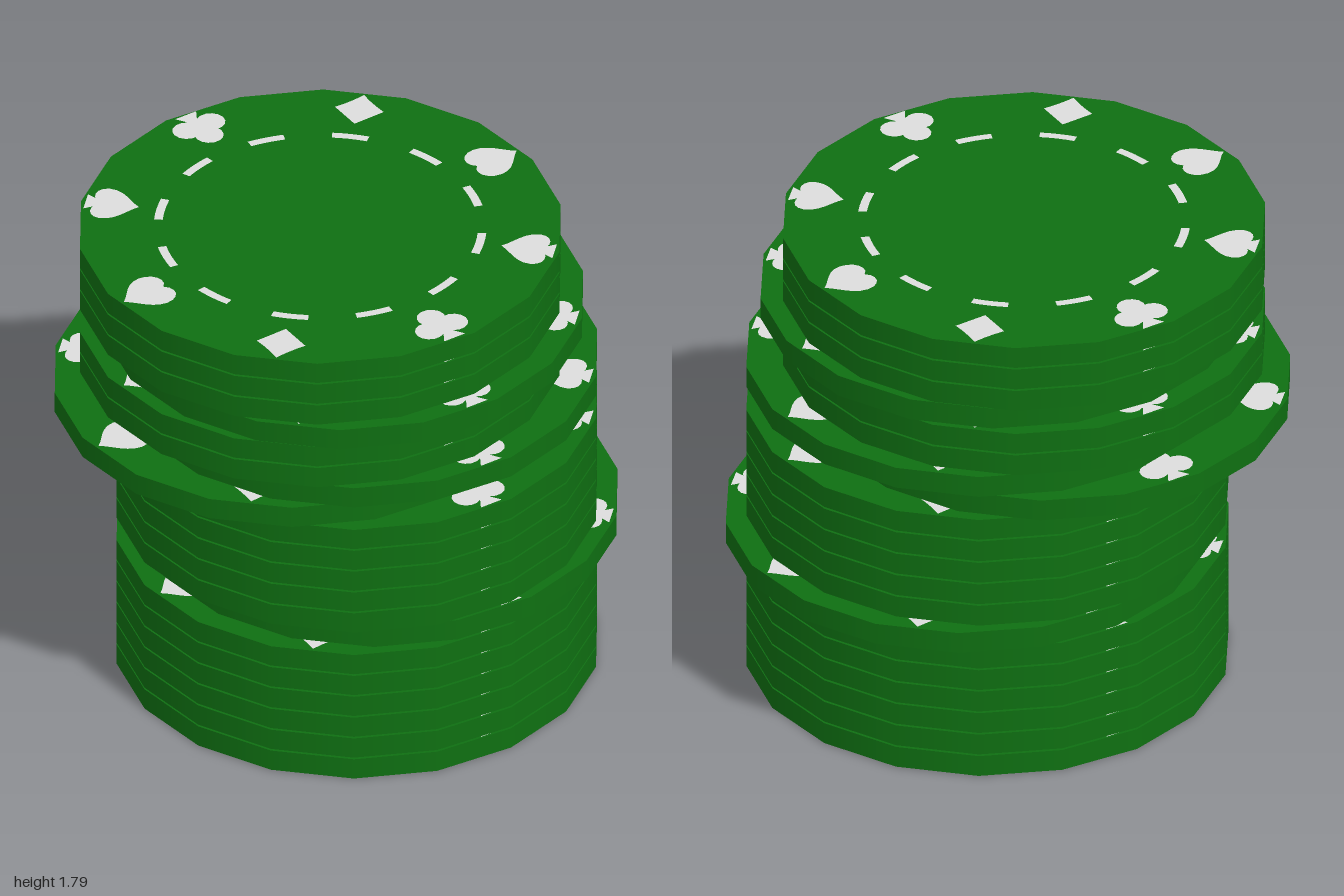
import * as THREE from 'three';
import { mergeGeometries } from 'three/addons/utils/BufferGeometryUtils.js';

const RADIUS = 0.865, HEIGHT = 0.0825, PITCH = 0.0897;

// Suit outlines: local +y points to the rim of the chip
function heart() {
  const s = new THREE.Shape();
  s.moveTo(0, 0.095);
  s.bezierCurveTo(-0.03, 0.055, -0.09, 0.03, -0.092, -0.03);
  s.bezierCurveTo(-0.092, -0.09, -0.03, -0.115, 0, -0.075);
  s.bezierCurveTo(0.03, -0.115, 0.092, -0.09, 0.092, -0.03);
  s.bezierCurveTo(0.09, 0.03, 0.03, 0.055, 0, 0.095);
  return [new THREE.ShapeGeometry(s, 6)];
}

function diamond() {
  const s = new THREE.Shape();
  s.moveTo(0, 0.092);
  s.quadraticCurveTo(-0.04, 0.04, -0.088, 0);
  s.quadraticCurveTo(-0.04, -0.05, 0, -0.092);
  s.quadraticCurveTo(0.04, -0.05, 0.088, 0);
  s.quadraticCurveTo(0.04, 0.04, 0, 0.092);
  return [new THREE.ShapeGeometry(s, 3)];
}

function stem() {
  const s = new THREE.Shape([[-0.015, -0.02], [0.015, -0.02], [0.022, 0.06], [0.045, 0.098], [-0.045, 0.098], [-0.022, 0.06]]
    .map(([x, y]) => new THREE.Vector2(x, y)));
  return new THREE.ShapeGeometry(s);
}

function club() {
  const lobes = [[0, -0.05], [-0.052, 0.015], [0.052, 0.015]]
    .map(([x, y]) => new THREE.CircleGeometry(0.052, 14).translate(x, y, 0));
  return [...lobes, stem()];
}

function spade() {
  const s = new THREE.Shape();
  s.moveTo(0, -0.095);
  s.bezierCurveTo(0.03, -0.055, 0.095, -0.03, 0.095, 0.03);
  s.bezierCurveTo(0.09, 0.08, 0.03, 0.085, 0, 0.05);
  s.bezierCurveTo(-0.03, 0.085, -0.09, 0.08, -0.095, 0.03);
  s.bezierCurveTo(-0.095, -0.03, -0.03, -0.055, 0, -0.095);
  return [new THREE.ShapeGeometry(s, 6), stem()];
}

// All printed marks of one chip face, lying flat and facing up
function faceMarks() {
  const parts = [];
  const suits = [heart, diamond, club, spade];
  for (let k = 0; k < 8; k++) {
    const angle = THREE.MathUtils.degToRad(5 + 45 * k);
    for (const g of suits[k % 4]()) {
      parts.push(g.translate(0, 0.75, 0).rotateZ(angle - Math.PI / 2));
    }
  }
  // Ring of twelve dashes
  const half = THREE.MathUtils.degToRad(6.5);
  for (let k = 0; k < 12; k++) {
    const angle = THREE.MathUtils.degToRad(-10 + 30 * k);
    parts.push(new THREE.RingGeometry(0.561, 0.592, 4, 1, angle - half, half * 2));
  }
  return mergeGeometries(parts).rotateX(-Math.PI / 2).translate(0, HEIGHT / 2 + 0.0015, 0);
}

export function createModel() {
  const green = new THREE.MeshStandardMaterial({ color: 0x0f7012 });
  green.name = 'chip green';
  const white = new THREE.MeshStandardMaterial({ color: 0xdddddd });
  white.name = 'mark white';

  // A corner of the 18-sided disc points along x
  const discGeometry = new THREE.CylinderGeometry(RADIUS, RADIUS, HEIGHT, 18, 1, false, Math.PI / 2);
  const topMarks = faceMarks();
  const bottomMarks = topMarks.clone().rotateX(Math.PI);

  // Sideways position [x, z] of each chip, from the bottom up
  const main = [0.0525, 0.06], upper = [-0.063, 0];
  const places = [
    main, main, main, main, main, main, [0.135, 0.06],
    main, main, main, main, main, [-0.135, -0.055], main,
    upper, upper, [-0.005, 0.06], upper, upper, upper,
  ];

  const model = new THREE.Group();
  model.name = 'chipStack';
  places.forEach(([x, z], i) => {
    const chip = new THREE.Group();
    chip.name = `chip${i + 1}`;
    const add = (name, geometry, material) => {
      const mesh = new THREE.Mesh(geometry, material);
      mesh.name = name;
      chip.add(mesh);
    };
    add('disc', discGeometry, green);
    add('topMarks', topMarks, white);
    add('bottomMarks', bottomMarks, white);
    chip.position.set(x, HEIGHT / 2 + i * PITCH, z);
    model.add(chip);
  });
  return model;
}
